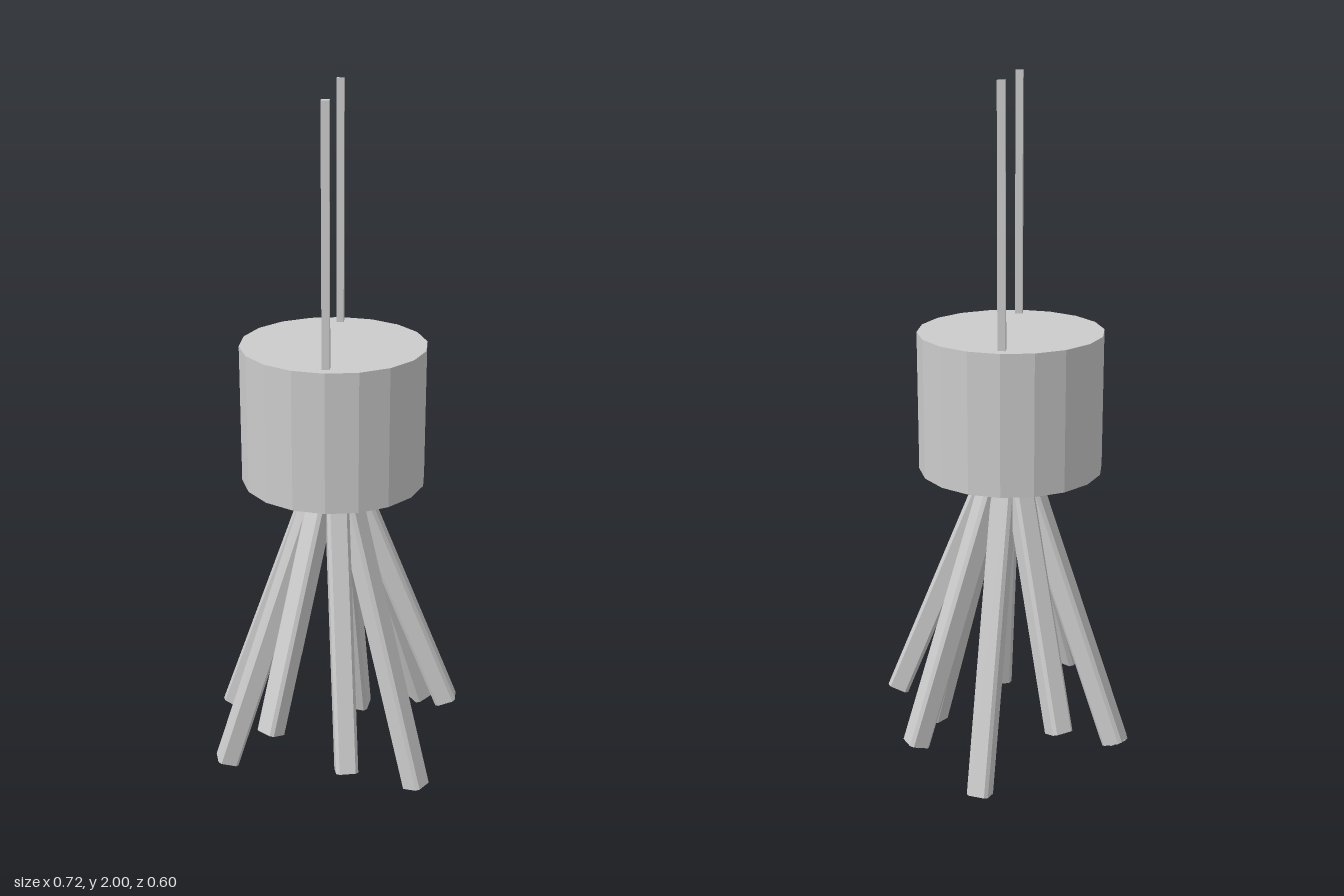
import * as THREE from 'three';

const material = new THREE.MeshStandardMaterial({
  color: 0xcccccc, flatShading: true, side: THREE.DoubleSide,
});

// Open square tube with chamfered corners, running along z
function chamferedTube(length, half, chamfer) {
  const geo = new THREE.CylinderGeometry(1, 1, length, 8, 1, true, Math.PI / 8);
  const pos = geo.attributes.position;
  const snap = (v) => Math.sign(v) * (Math.abs(v) > 0.6 ? half : half - chamfer);
  for (let i = 0; i < pos.count; i++) {
    pos.setX(i, snap(pos.getX(i)));
    pos.setZ(i, snap(pos.getZ(i)));
  }
  geo.rotateX(Math.PI / 2);
  geo.computeVertexNormals();
  return geo;
}

function addMesh(parent, name, geo, x = 0, y = 0, z = 0) {
  const mesh = new THREE.Mesh(geo, material);
  mesh.name = name;
  mesh.position.set(x, y, z);
  parent.add(mesh);
  return mesh;
}

export function createModel() {
  const model = new THREE.Group();
  model.name = 'model';

  // Faceted drum, open underneath
  const cx = -0.008, bottom = 0.92, top = 1.316, radius = 0.26;
  const drum = new THREE.Group();
  drum.name = 'drum';
  model.add(drum);
  addMesh(drum, 'drumWall',
    new THREE.CylinderGeometry(radius, radius, top - bottom, 18, 1, true), cx, (top + bottom) / 2, 0);
  const lid = new THREE.CircleGeometry(radius, 18, Math.PI / 2).rotateX(-Math.PI / 2);
  addMesh(drum, 'drumLid', lid, cx, top, 0);

  // Two thin square rods standing on the lid
  for (const side of [1, -1]) {
    addMesh(model, side > 0 ? 'frontRod' : 'backRod',
      new THREE.BoxGeometry(0.021, 0.7, 0.021), cx, 1.65, side * 0.219);
  }

  // Nine splayed legs meeting inside the drum, in three lengths
  const apex = new THREE.Vector3(-0.005, 1.04, 0);
  const feet = [ // x, z, foot height in front, foot height at back
    [0.33, 0, 0.207, null],
    [0.251, 0.173, 0.012, 0.112],
    [0.052, 0.264, 0.112, 0.012],
    [-0.170, 0.230, 0.208, 0.208],
    [-0.325, 0.092, 0.012, 0.112],
  ];
  const legs = new THREE.Group();
  legs.name = 'legs';
  model.add(legs);
  const addLeg = (x, y, z) => {
    const foot = new THREE.Vector3(x, y, z);
    const mid = foot.clone().lerp(apex, 0.5);
    const leg = addMesh(legs, 'leg', chamferedTube(foot.distanceTo(apex), 0.032, 0.009), mid.x, mid.y, mid.z);
    leg.lookAt(apex);
  };
  for (const [x, z, yFront, yBack] of feet) {
    addLeg(x, yFront, z);
    if (yBack !== null) addLeg(x, yBack, -z);
  }
  return model;
}
